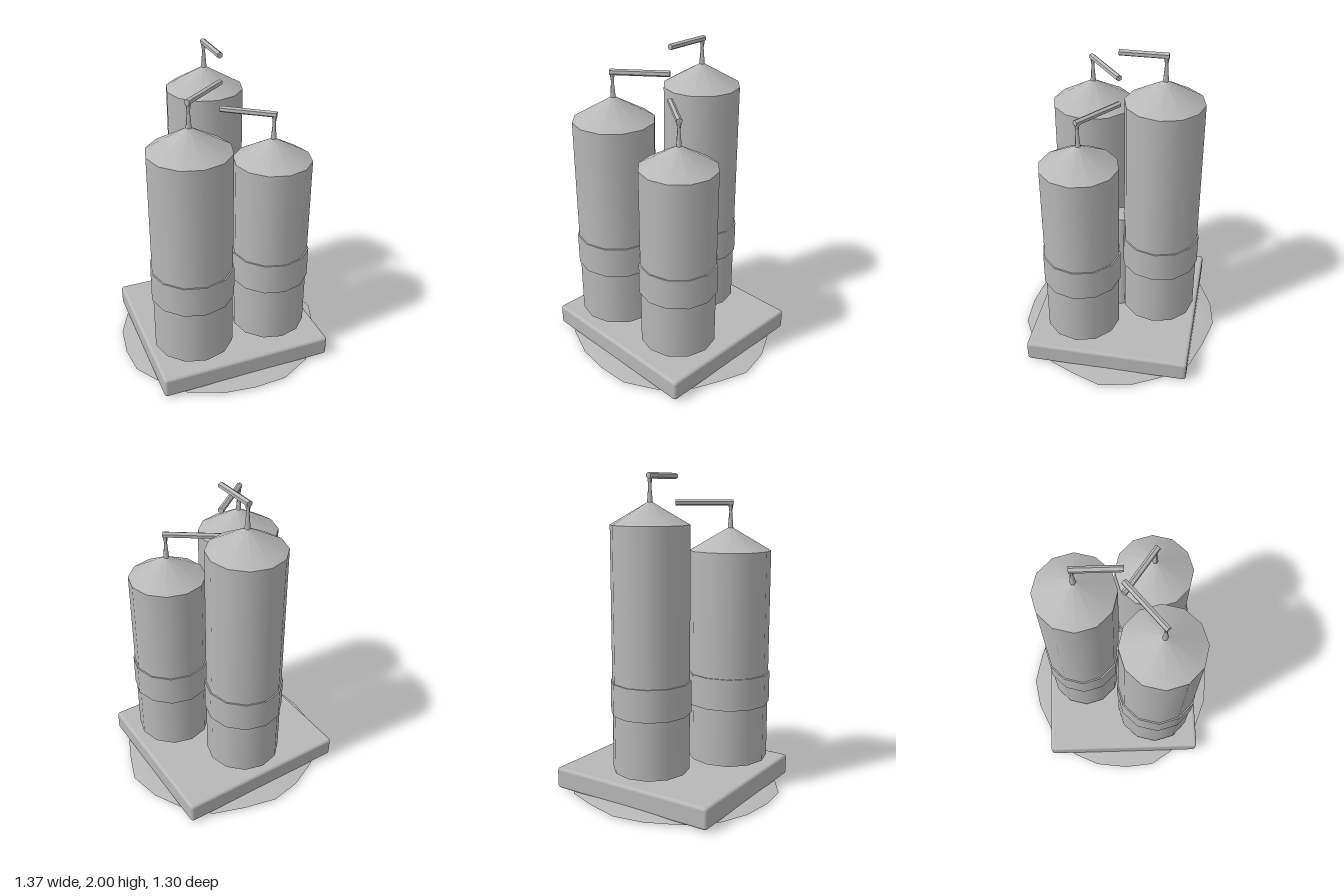
import * as THREE from 'three';
import { RoundedBoxGeometry } from 'three/addons/geometries/RoundedBoxGeometry.js';

const grey = new THREE.MeshStandardMaterial({ color: 0xb8b8b8 });
grey.name = 'grey metal';

function add(parent, geometry, name, x = 0, y = 0, z = 0) {
  const mesh = new THREE.Mesh(geometry, grey);
  mesh.name = name;
  mesh.position.set(x, y, z);
  parent.add(mesh);
  return mesh;
}

// Straight six-sided bar between two points
function bar(parent, a, b, r, name) {
  const dir = b.clone().sub(a);
  const mesh = add(parent, new THREE.CylinderGeometry(r, r, dir.length(), 6).toNonIndexed(), name);
  mesh.geometry.computeVertexNormals();
  mesh.position.copy(a).lerp(b, 0.5);
  mesh.quaternion.setFromUnitVectors(new THREE.Vector3(0, 1, 0), dir.normalize());
}

// Shallow irregular mound: rings of [scale, y] around a shared outline
const outline = [
  [-0.01, -0.65], [0.2, -0.6], [0.4, -0.53], [0.55, -0.36], [0.64, -0.19],
  [0.683, 0.02], [0.62, 0.2], [0.55, 0.36], [0.4, 0.53], [0.2, 0.635],
  [-0.01, 0.646], [-0.21, 0.62], [-0.43, 0.53], [-0.58, 0.35], [-0.67, 0.21],
  [-0.687, 0.02], [-0.66, -0.19], [-0.58, -0.36], [-0.41, -0.52], [-0.205, -0.615],
];
function moundSurface(rings, centreY, up) {
  const n = outline.length, pos = [0, centreY, 0], index = [];
  const tri = (a, b, c) => index.push(...(up ? [a, b, c] : [a, c, b]));
  rings.forEach(([s, y], k) => {
    outline.forEach(([x, z], i) => {
      pos.push(x * s, y, z * s);
      const j = (i + 1) % n, cur = 1 + k * n + i, next = 1 + k * n + j;
      if (k === 0) return tri(0, next, cur);
      tri(cur - n, next - n, cur);
      tri(next - n, next, cur);
    });
  });
  const g = new THREE.BufferGeometry();
  g.setAttribute('position', new THREE.Float32BufferAttribute(pos, 3));
  g.setIndex(index);
  g.computeVertexNormals();
  return g;
}

// Tank with conical ends, belt and spout; all spouts point to the centre
function silo(name, x, z, r, shoulder, tip) {
  const g = new THREE.Group();
  g.name = name;
  g.position.set(x, 0, z);
  const bottom = 0.19, h = shoulder - bottom;
  add(g, new THREE.CylinderGeometry(r, r, h, 12, 1, true), 'tankBody', 0, bottom + h / 2);
  add(g, new THREE.ConeGeometry(r, tip - shoulder, 12, 1, true), 'tankRoof', 0, (tip + shoulder) / 2);
  add(g, new THREE.CylinderGeometry(r, 0, 0.035, 12, 1, true), 'tankUnderside', 0, bottom - 0.0175);
  add(g, new THREE.CylinderGeometry(r + 0.009, r + 0.009, 0.2, 12), 'belt', 0, 0.655);

  // Pinched riser
  const armY = tip + 0.145;
  const profile = [[0.018, tip - 0.02], [0.009, tip + 0.09], [0.017, armY]]
    .map(([px, py]) => new THREE.Vector2(px, py));
  add(g, new THREE.LatheGeometry(profile, 6), 'spoutRiser');

  // Horizontal arm, starting just behind the riser
  const end = new THREE.Vector3(-0.01 - x, armY, 0.015 - z);
  const start = new THREE.Vector3(-end.x, 0, -end.z).setLength(0.015);
  start.y = armY;
  bar(g, start, end, 0.019, 'spoutArm');
  return g;
}

export function createModel() {
  const model = new THREE.Group();
  model.name = 'siloCluster';

  // Ground mound
  add(model, moundSurface([[0.6, 0.035], [0.88, 0.025], [1, 0.01]], 0.038, true), 'moundTop');
  add(model, moundSurface([[0.8, 0], [1, 0.01]], 0, false), 'moundBottom');

  // Slab
  add(model, new RoundedBoxGeometry(1.125, 0.137, 1.05, 3, 0.02), 'baseSlab', -0.012, 0.0815, 0.005);

  // Middle column
  add(model, new THREE.CylinderGeometry(0.07, 0.07, 0.73, 12), 'centreColumn', -0.01, 0.505, 0);

  // Three tanks
  model.add(silo('rightSilo', -0.28, 0.23, 0.256, 1.53, 1.68));
  model.add(silo('leftSilo', 0.255, 0.208, 0.24, 1.375, 1.515));
  model.add(silo('backSilo', -0.01, -0.256, 0.24, 1.7, 1.84));
  return model;
}
